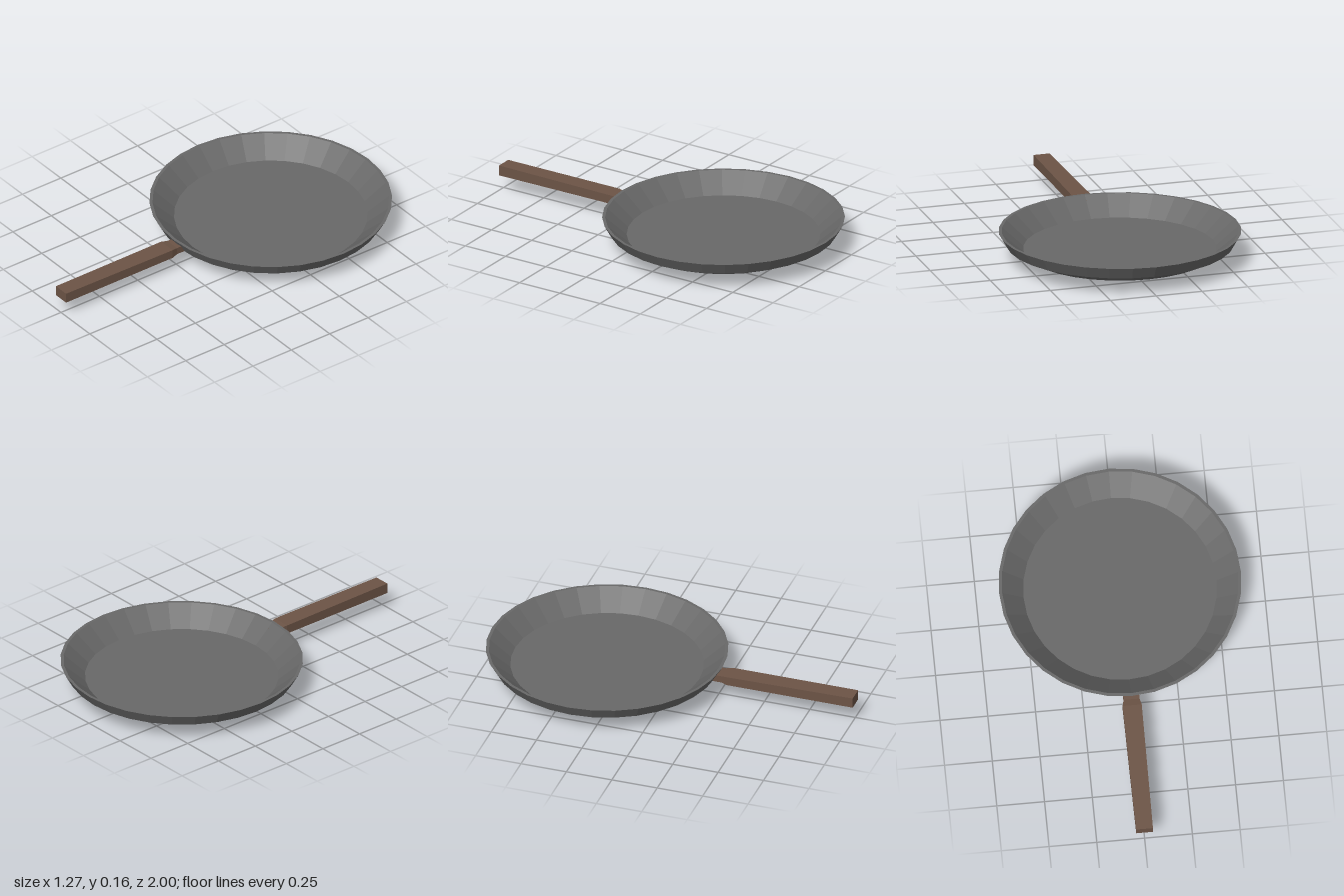
import * as THREE from 'three';

// Faceted look: every triangle gets its own normal
function faceted(geometry) {
  const flat = geometry.toNonIndexed();
  flat.computeVertexNormals();
  return flat;
}

export function createModel() {
  const group = new THREE.Group();
  group.name = 'fryingPan';

  const iron = new THREE.MeshStandardMaterial({ color: 0x686868 });
  iron.name = 'darkIron';
  const wood = new THREE.MeshStandardMaterial({ color: 0x6c5446 });
  wood.name = 'brownWood';

  // Pan: rounded underside, thin rim, sloped inner wall and flat floor
  const profile = [
    [0, 0], [0.2, 0], [0.405, 0.025], [0.505, 0.05], [0.597, 0.093], [0.633, 0.157],
    [0.617, 0.157], [0.505, 0.06], [0, 0.06],
  ].map(([r, y]) => new THREE.Vector2(r, y));
  const pan = new THREE.Mesh(faceted(new THREE.LatheGeometry(profile, 32)), iron);
  pan.name = 'pan';
  pan.position.z = -0.367;
  group.add(pan);

  // Handle: square bar with a narrower neck entering the pan wall
  const sections = [ // z, half width, bottom, top
    [0.222, 0.042, 0.095, 0.133],
    [0.275, 0.042, 0.095, 0.133],
    [0.31, 0.05, 0.09, 0.138],
    [1, 0.044, 0.085, 0.141],
  ];
  const bar = new THREE.BoxGeometry(2, 2, 3, 1, 1, 3);
  const p = bar.attributes.position;
  for (let i = 0; i < p.count; i++) {
    const [z, half, bottom, top] = sections[Math.round(p.getZ(i) + 1.5)];
    p.setXYZ(i, Math.sign(p.getX(i)) * half, p.getY(i) > 0 ? top : bottom, z);
  }
  const handle = new THREE.Mesh(faceted(bar), wood);
  handle.name = 'handle';
  group.add(handle);

  return group;
}
